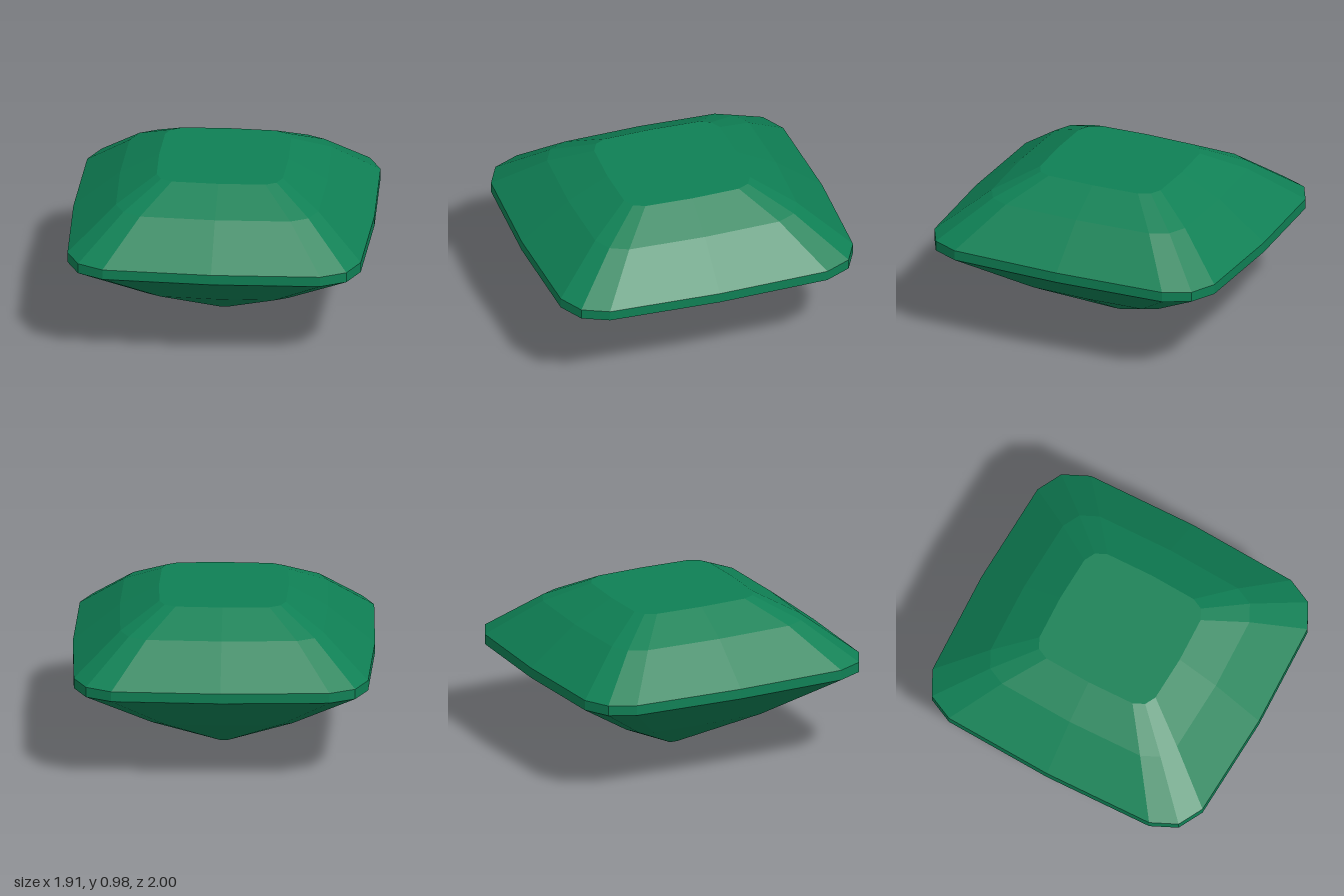
import * as THREE from 'three';

// Half of the girdle outline as [x, z]; the other half is the same turned 180 degrees
const half = [
  [0.957, 0.58], [0.902, 0.745], [0.76, 0.842], [0.112, 0.946],
  [-0.543, 0.998], [-0.705, 0.937], [-0.8, 0.787], [-0.902, 0.105],
];
const outline = [...half, ...half.map(([x, z]) => [-x, -z])];
const count = outline.length;

const ring = ([scale, y]) => outline.map(([x, z]) => [x * scale, y, z * scale]);

// Unshared corners give every facet its own flat normal
function facetMesh(name, triangles, material) {
  const geometry = new THREE.BufferGeometry();
  geometry.setAttribute('position', new THREE.Float32BufferAttribute(triangles.flat(2), 3));
  geometry.computeVertexNormals();
  const mesh = new THREE.Mesh(geometry, material);
  mesh.name = name;
  return mesh;
}

// Band of facets between a lower and an upper ring
function band(lower, upper) {
  const lo = ring(lower), up = ring(upper), triangles = [];
  for (let i = 0; i < count; i++) {
    const j = (i + 1) % count;
    triangles.push([lo[i], up[i], up[j]], [lo[i], up[j], lo[j]]);
  }
  return triangles;
}

// Flat face closing a ring, facing up or down
function cap(level, up) {
  const points = ring(level), centre = [0, level[1], 0];
  return points.map((p, i) => {
    const next = points[(i + 1) % count];
    return up ? [centre, next, p] : [centre, p, next];
  });
}

export function createModel() {
  const gem = new THREE.Group();
  gem.name = 'cutGemstone';
  const emerald = new THREE.MeshStandardMaterial({ color: 0x0f8055 });
  emerald.name = 'emerald green';

  // Levels as [scale of outline, height]
  const culet = [0.035, 0], pavilionBreak = [0.525, 0.257];
  const girdleBottom = [1, 0.555], girdleTop = [1, 0.617];
  const crownBreak = [0.69, 0.848], table = [0.43, 0.977];

  gem.add(
    facetMesh('culet', cap(culet, false), emerald),
    facetMesh('lowerPavilion', band(culet, pavilionBreak), emerald),
    facetMesh('upperPavilion', band(pavilionBreak, girdleBottom), emerald),
    facetMesh('girdle', band(girdleBottom, girdleTop), emerald),
    facetMesh('lowerCrown', band(girdleTop, crownBreak), emerald),
    facetMesh('upperCrown', band(crownBreak, table), emerald),
    facetMesh('table', cap(table, true), emerald),
  );
  return gem;
}
